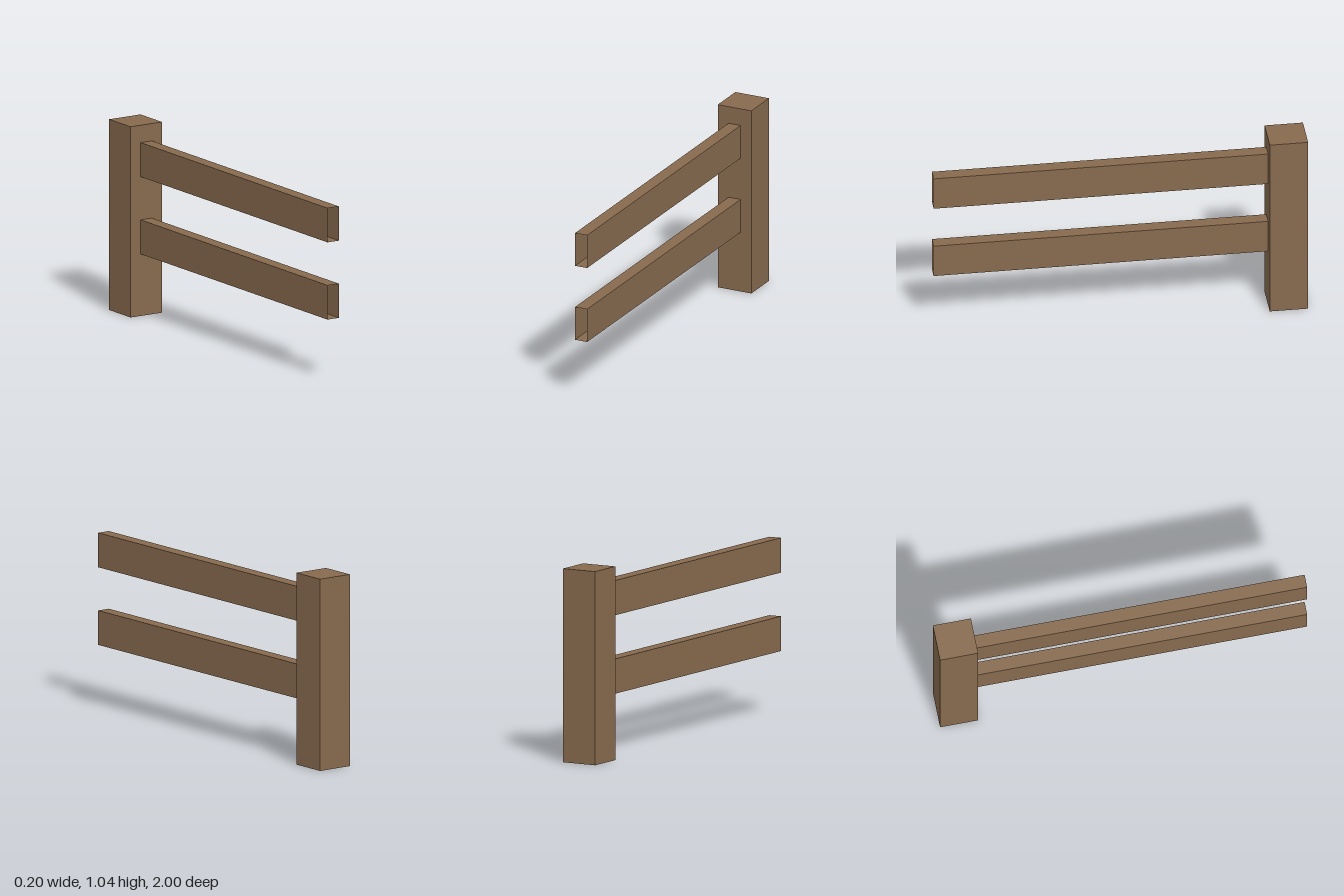
import * as THREE from 'three';

// Box side numbers, in the order BoxGeometry builds them
const BOTTOM = 3, FRONT = 4, BACK = 5;

// Box between two corners, with the listed sides left open
function openBox(min, max, openSides) {
  const size = max.map((v, i) => v - min[i]);
  const geometry = new THREE.BoxGeometry(...size);
  const index = Array.from(geometry.index.array);
  geometry.setIndex(index.filter((_, i) => !openSides.includes(Math.floor(i / 6))));
  geometry.clearGroups();
  geometry.translate(...max.map((v, i) => (v + min[i]) / 2));
  return geometry;
}

export function createModel() {
  const wood = new THREE.MeshStandardMaterial({ color: 0x876a4e, side: THREE.DoubleSide });
  wood.name = 'brown wood';

  const fence = new THREE.Group();
  fence.name = 'fence';

  const add = (name, geometry) => {
    const mesh = new THREE.Mesh(geometry, wood);
    mesh.name = name;
    fence.add(mesh);
  };

  // Square post, hollow from below
  add('post', openBox([-0.1, 0, -1], [0.1, 1.042, -0.794], [BOTTOM]));

  // Two hollow rails running forward from the post, open at their ends
  for (const [name, y] of [['lowerRail', 0.338], ['upperRail', 0.76]]) {
    add(name, openBox([-0.036, y, -0.794], [0.036, y + 0.187, 1], [FRONT, BACK]));
  }

  return fence;
}
